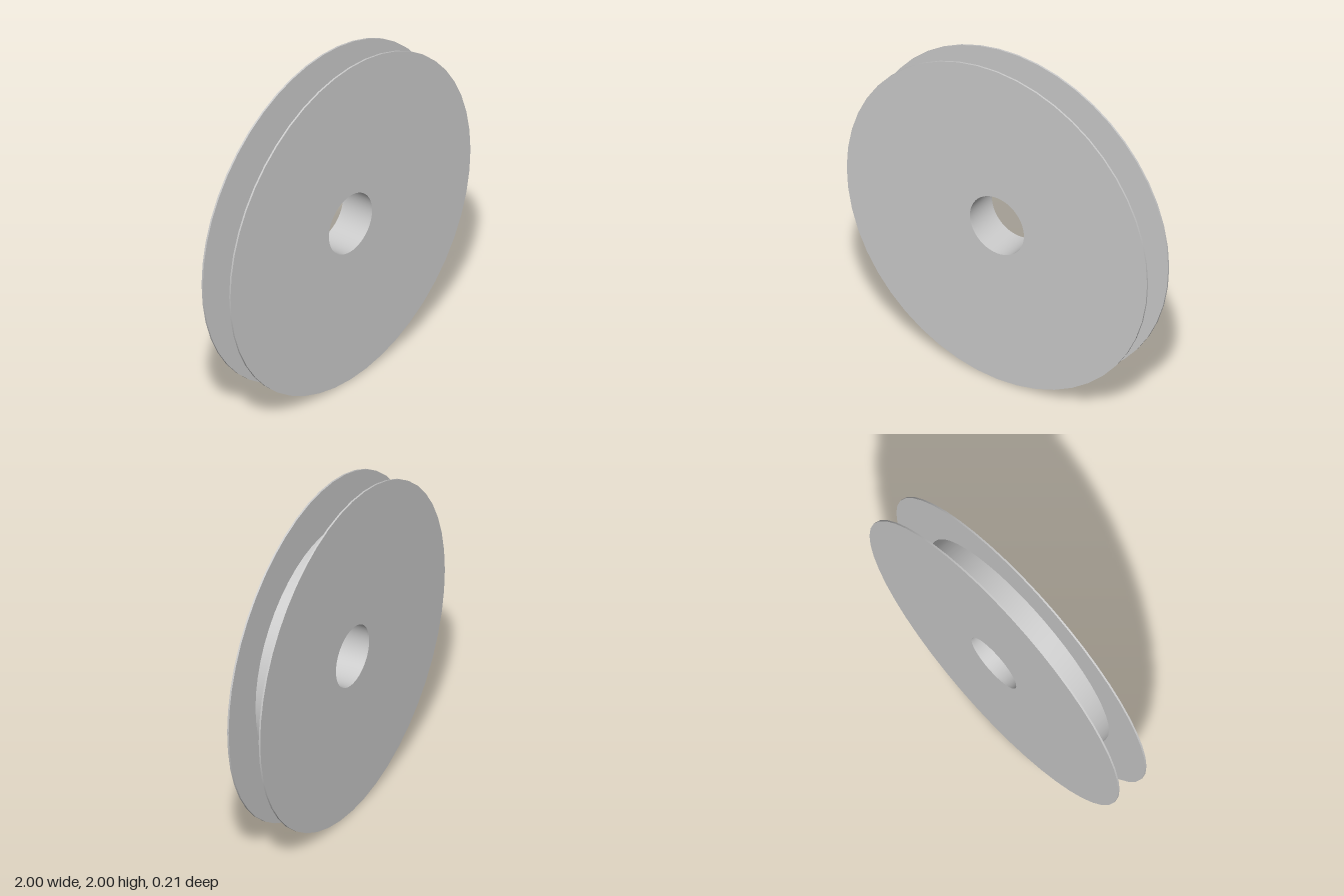
import * as THREE from 'three';
import { toCreasedNormals } from 'three/addons/utils/BufferGeometryUtils.js';

const HOLE = 0.18, CORE = 0.71, RIM = 1, HALF = 0.104, PLATE = 0.01;

const material = new THREE.MeshStandardMaterial({ color: 0xcccccc });

// Flat ring with the bore cut out, running from z0 to z1
function ring(name, radius, z0, z1) {
  const shape = new THREE.Shape().absarc(0, 0, radius, 0, Math.PI * 2, false);
  shape.holes.push(new THREE.Path().absarc(0, 0, HOLE, 0, Math.PI * 2, true));
  const geometry = new THREE.ExtrudeGeometry(shape, {
    depth: z1 - z0, bevelEnabled: false, curveSegments: 24,
  });
  const mesh = new THREE.Mesh(toCreasedNormals(geometry, 0.6), material);
  mesh.name = name;
  mesh.position.set(0, 1, z0);
  return mesh;
}

export function createModel() {
  const reel = new THREE.Group();
  reel.name = 'reel';
  const inner = HALF - PLATE;

  // Thin side plates with the hub drum between them
  reel.add(
    ring('frontFlange', RIM, inner, HALF),
    ring('hub', CORE, -inner, inner),
    ring('backFlange', RIM, -HALF, -inner),
  );
  return reel;
}
